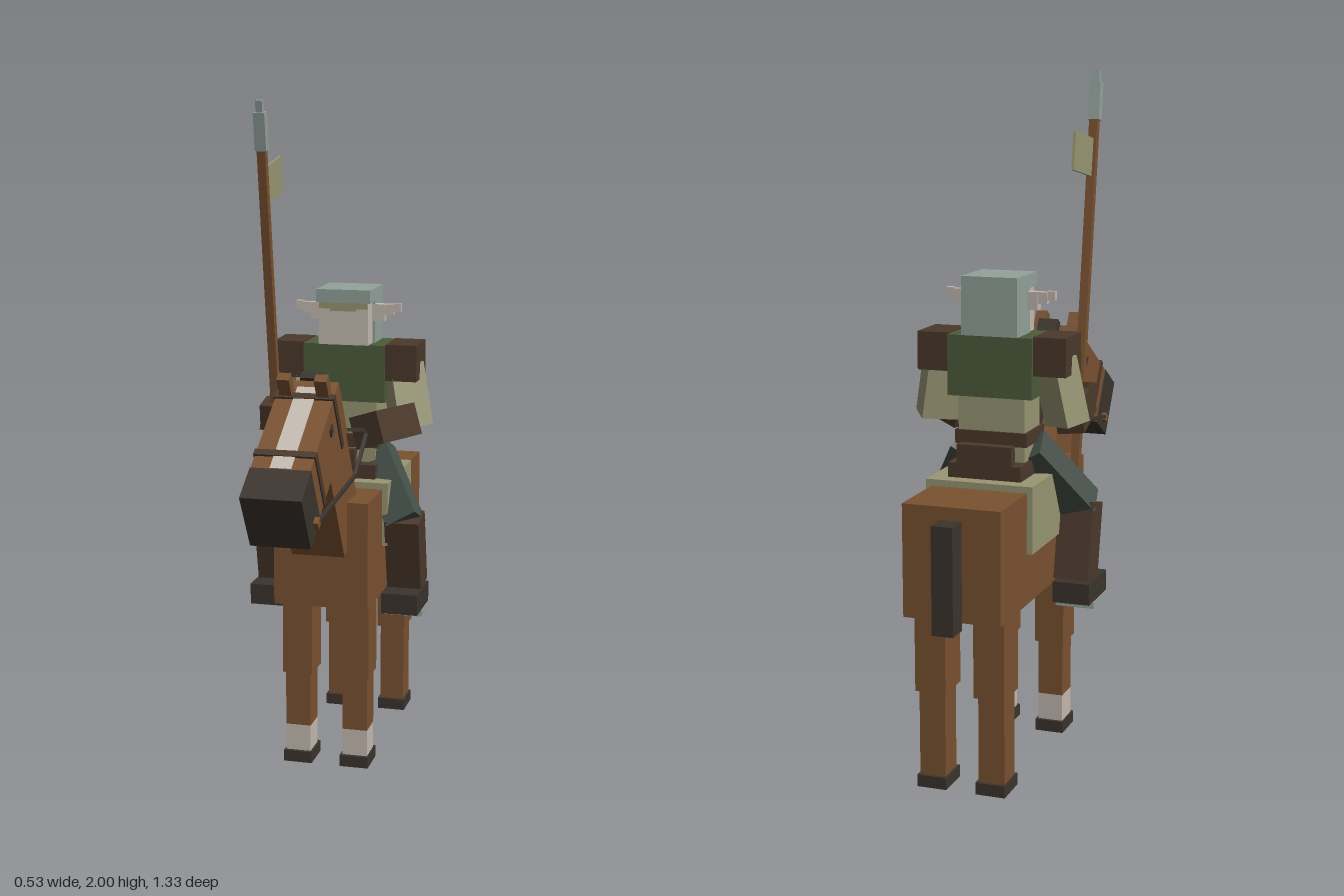
import * as THREE from 'three';

const mat = (name, color) => {
  const m = new THREE.MeshStandardMaterial({ color });
  m.name = name;
  return m;
};

export function createModel() {
  const coat = mat('chestnut', 0x7a5231);
  const dark = mat('charcoal', 0x3c342e);
  const leather = mat('leather', 0x4b392b);
  const pale = mat('pale', 0xc6bcb2);
  const olive = mat('olive cloth', 0x999773);
  const green = mat('green tunic', 0x4d5c3c);
  const steel = mat('steel', 0x94a39c);
  const trousers = mat('grey trousers', 0x46504a);

  const root = new THREE.Group();
  root.name = 'mountedRider';
  const group = (name, parent = root) => {
    const g = new THREE.Group();
    g.name = name;
    parent.add(g);
    return g;
  };
  // Box given by its limits on each axis
  const box = (parent, name, m, [x0, x1], [y0, y1], [z0, z1]) => {
    const b = new THREE.Mesh(new THREE.BoxGeometry(x1 - x0, y1 - y0, z1 - z0), m);
    b.position.set((x0 + x1) / 2, (y0 + y1) / 2, (z0 + z1) / 2);
    b.name = name;
    parent.add(b);
    return b;
  };
  const wide = (h) => [-h, h];
  const side = (s, a, b) => (s > 0 ? [a, b] : [-b, -a]);
  // Square bar running from point a to point b
  const bar = (parent, name, m, a, b, w, d = w) => {
    const p = new THREE.Vector3(...a), q = new THREE.Vector3(...b);
    const dir = q.clone().sub(p);
    const mesh = new THREE.Mesh(new THREE.BoxGeometry(w, dir.length(), d), m);
    mesh.position.copy(p).add(q).multiplyScalar(0.5);
    mesh.quaternion.setFromUnitVectors(new THREE.Vector3(0, 1, 0), dir.normalize());
    mesh.name = name;
    parent.add(mesh);
    return mesh;
  };

  // Horse body and legs
  const horse = group('horse');
  box(horse, 'body', coat, wide(0.143), [0.52, 0.843], [-0.6, 0.143]);
  box(horse, 'tail', dark, wide(0.031), [0.499, 0.806], [-0.668, -0.6]);
  for (const s of [-1, 1]) {
    for (const [name, z, up, white] of [['frontLeg', 0.033, 0.053, true], ['rearLeg', -0.487, 0.058, false]]) {
      const leg = group(name, horse);
      const ankle = white ? 0.117 : 0.035;
      box(leg, 'upperLeg', coat, side(s, 0.042, 0.133), [0.287, 0.53], [z - up, z + up]);
      box(leg, 'lowerLeg', coat, side(s, 0.05, 0.127), [ankle, 0.287], [z - 0.042, z + 0.042]);
      if (white) box(leg, 'sock', pale, side(s, 0.05, 0.127), [0.035, 0.117], [z - 0.042, z + 0.042]);
      box(leg, 'hoof', dark, side(s, 0.044, 0.132), [0, 0.035], [z - 0.053, z + 0.053]);
    }
  }

  // Tilted neck and head, origin at the poll
  const head = group('horseHead', horse);
  head.position.set(0, 1.22, 0.255);
  head.rotation.x = 0.55;
  box(head, 'neck', coat, wide(0.08), [-0.501, -0.002], [0.001, 0.207]);
  box(head, 'skull', coat, wide(0.084), [-0.181, 0], [0, 0.361]);
  box(head, 'muzzle', dark, wide(0.086), [-0.182, 0.001], [0.361, 0.478]);
  box(head, 'mane', dark, wide(0.031), [-0.485, 0.005], [-0.036, -0.006]);
  box(head, 'blaze', pale, wide(0.03), [0, 0.004], [0.03, 0.361]);
  box(head, 'noseband', leather, wide(0.088), [-0.184, 0.006], [0.292, 0.314]);
  box(head, 'browband', leather, wide(0.088), [-0.184, 0.006], [0.058, 0.08]);
  for (const s of [-1, 1]) {
    box(head, 'ear', coat, side(s, 0.036, 0.072), [0, 0.064], [0.042, 0.073]);
    box(head, 'eye', dark, side(s, 0.083, 0.088), [-0.07, -0.043], [0.127, 0.154]);
    box(head, 'bit', coat, side(s, 0.085, 0.1), [-0.158, -0.134], [0.4, 0.426]);
  }

  // Reins gathered in the left hand
  for (const s of [-1, 1]) {
    const path = [[s * 0.096, 0.885, 0.52], [s * 0.113, 0.935, 0.18], [s * 0.12, 1.035, 0.07], [0.1, 1.04, 0.03]];
    for (let i = 0; i < 3; i++) bar(horse, 'rein', dark, path[i], path[i + 1], 0.01);
  }

  // Saddle and blanket
  const saddle = group('saddle');
  box(saddle, 'blanket', olive, wide(0.16), [0.668, 0.862], [-0.385, -0.045]);
  box(saddle, 'seat', leather, wide(0.11), [0.86, 0.905], [-0.342, -0.09]);
  box(saddle, 'cantle', leather, wide(0.082), [0.9, 0.96], [-0.345, -0.313]);
  box(saddle, 'pommel', leather, wide(0.045), [0.87, 0.95], [-0.122, -0.088]);

  // Rider torso
  const rider = group('rider');
  box(rider, 'tunicSkirt', olive, wide(0.1), [0.88, 0.955], [-0.283, -0.135]);
  box(rider, 'waist', olive, wide(0.1), [0.98, 1.1], [-0.28, -0.15]);
  box(rider, 'belt', leather, wide(0.108), [0.95, 0.99], [-0.288, -0.13]);
  box(rider, 'chest', green, wide(0.127), [1.09, 1.265], [-0.297, -0.14]);

  // Rider head, helmet and pointed ears
  const riderHead = group('riderHead', rider);
  box(riderHead, 'face', pale, wide(0.077), [1.265, 1.4], [-0.28, -0.131]);
  box(riderHead, 'helmetTop', steel, wide(0.084), [1.393, 1.433], [-0.297, -0.127]);
  box(riderHead, 'helmetBack', steel, wide(0.084), [1.265, 1.393], [-0.297, -0.19]);
  for (const [x, w, y] of [[-0.055, 0.02, 1.375], [0, 0.04, 1.368], [0.055, 0.02, 1.375]])
    box(riderHead, 'fringe', olive, [x - w, x + w], [y, 1.394], [-0.132, -0.127]);
  for (const s of [-1, 1]) {
    box(riderHead, 'earBase', pale, side(s, 0.08, 0.115), [1.333, 1.385], [-0.212, -0.184]);
    box(riderHead, 'earMiddle', pale, side(s, 0.115, 0.142), [1.352, 1.385], [-0.21, -0.188]);
    box(riderHead, 'earTip', pale, side(s, 0.142, 0.165), [1.362, 1.388], [-0.207, -0.191]);
  }

  // Arms: the left holds the reins, the right grips the lance
  for (const s of [-1, 1]) {
    box(rider, 'pauldron', leather, side(s, 0.127, 0.223), [1.157, 1.268], [-0.285, -0.145]);
    bar(rider, 'upperArm', olive, [s * 0.165, 1.2, -0.213], [s * 0.2, 1.01, -0.195], 0.08, 0.11);
  }
  bar(rider, 'leftForearm', leather, [0.184, 1.03, -0.17], [0.113, 1.04, 0.04], 0.098, 0.098);
  bar(rider, 'rightForearm', leather, [-0.203, 1.02, -0.19], [-0.187, 1.055, -0.02], 0.08, 0.088);
  bar(rider, 'rightHand', leather, [-0.187, 1.025, -0.045], [-0.185, 1.1, -0.03], 0.078, 0.08);

  // Legs, boots and stirrups
  for (const s of [-1, 1]) {
    const leg = group('riderLeg', rider);
    bar(leg, 'thigh', trousers, [s * 0.085, 0.93, -0.205], [s * 0.21, 0.735, -0.075], 0.1, 0.1);
    bar(leg, 'shin', leather, [s * 0.205, 0.755, -0.078], [s * 0.205, 0.53, -0.128], 0.105, 0.098);
    box(leg, 'boot', dark, side(s, 0.15, 0.262), [0.467, 0.53], [-0.175, -0.005]);
    box(leg, 'stirrup', steel, side(s, 0.147, 0.265), [0.447, 0.467], [-0.14, -0.064]);
  }

  // Tilted lance with pennant, origin at its foot
  const lance = group('lance');
  lance.position.set(-0.185, 0.8, -0.08);
  lance.rotation.x = 0.163;
  box(lance, 'shaft', coat, wide(0.0125), [0, 1.08], wide(0.0125));
  box(lance, 'lanceHead', steel, wide(0.017), [1.07, 1.18], wide(0.015));
  box(lance, 'lancePoint', steel, wide(0.01), [1.18, 1.214], wide(0.009));
  box(lance, 'pennant', olive, wide(0.004), [0.905, 1.015], [-0.183, -0.01]);

  return root;
}
